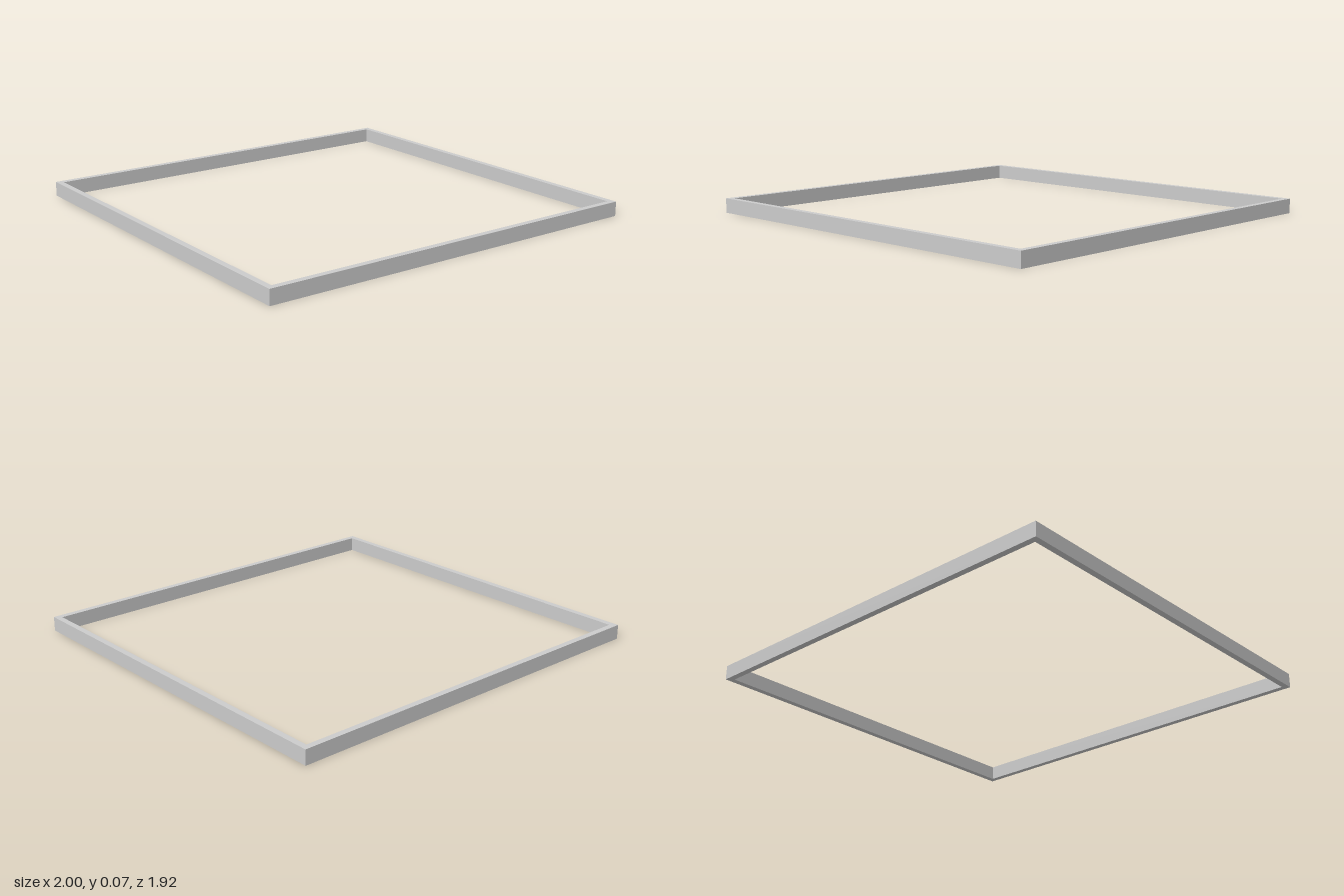
import * as THREE from 'three';

const WIDTH = 2, DEPTH = 1.92, HEIGHT = 0.072, RAIL = 0.03;

// Adds a centred rectangle to a shape or path
function rectangle(path, w, d) {
  path.moveTo(-w / 2, -d / 2);
  path.lineTo(w / 2, -d / 2);
  path.lineTo(w / 2, d / 2);
  path.lineTo(-w / 2, d / 2);
  path.closePath();
  return path;
}

export function createModel() {
  const group = new THREE.Group();
  group.name = 'rectangularFrame';

  // Upright rails as one outline with an open middle
  const outline = rectangle(new THREE.Shape(), WIDTH, DEPTH);
  outline.holes.push(rectangle(new THREE.Path(), WIDTH - 2 * RAIL, DEPTH - 2 * RAIL));
  const geometry = new THREE.ExtrudeGeometry(outline, { depth: HEIGHT, bevelEnabled: false });
  geometry.rotateX(-Math.PI / 2);

  const frame = new THREE.Mesh(geometry, new THREE.MeshStandardMaterial({ color: 0xcccccc }));
  frame.name = 'frame';
  group.add(frame);
  return group;
}
